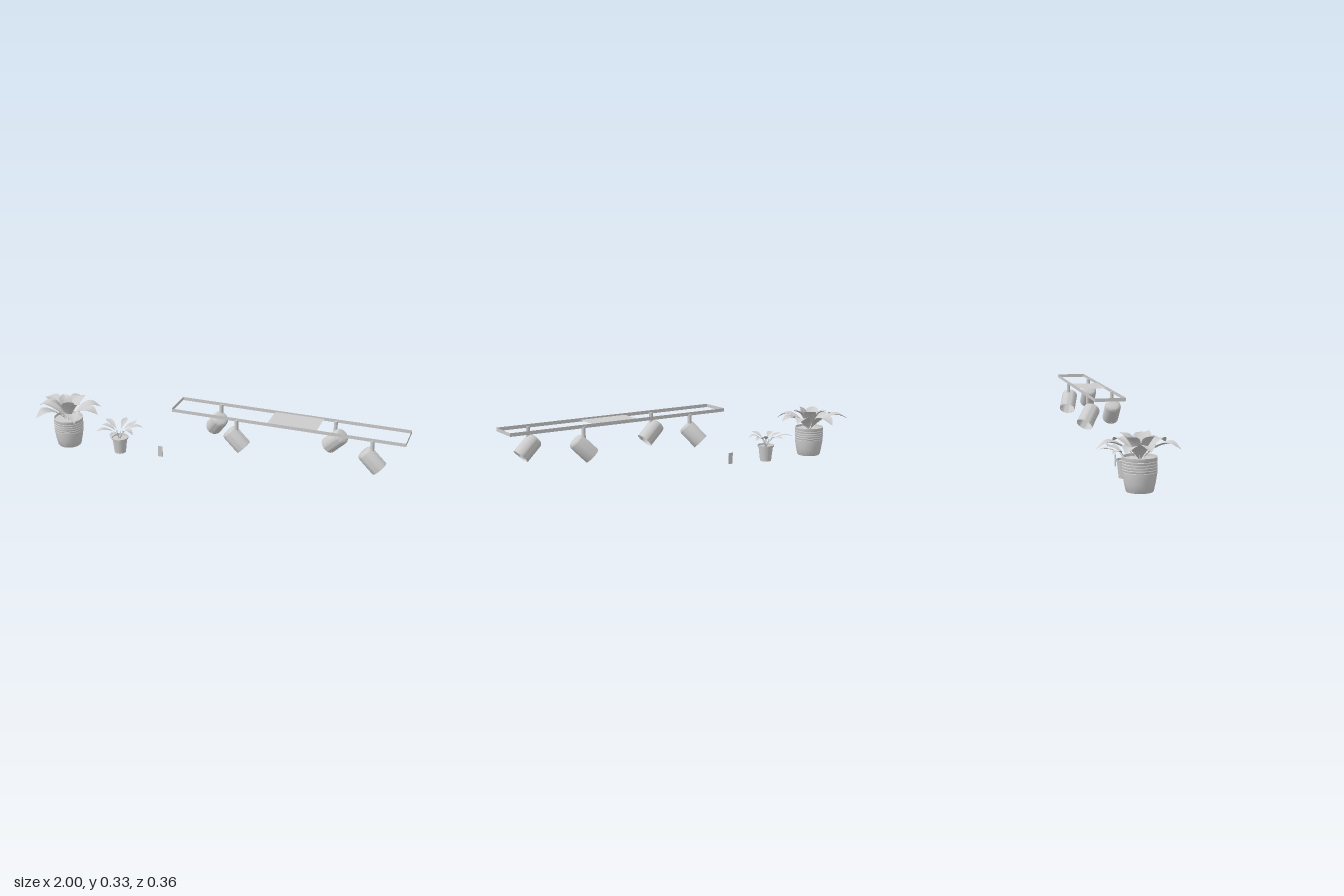
import * as THREE from 'three';
import { toCreasedNormals } from 'three/addons/utils/BufferGeometryUtils.js';

const grey = new THREE.MeshStandardMaterial({ color: 0xcccccc, side: THREE.DoubleSide });

function add(parent, name, geometry, x = 0, y = 0, z = 0) {
  const mesh = new THREE.Mesh(geometry, grey);
  mesh.name = name;
  mesh.position.set(x, y, z);
  parent.add(mesh);
  return mesh;
}

function addGroup(parent, name, x = 0, y = 0, z = 0) {
  const group = new THREE.Group();
  group.name = name;
  group.position.set(x, y, z);
  parent.add(group);
  return group;
}

function lathe(points, segments = 32) {
  const geometry = new THREE.LatheGeometry(points.map(p => new THREE.Vector2(...p)), segments);
  return toCreasedNormals(geometry, 0.6);
}

// Curve leaving the plant centre along the heading (dx, dz); points are [radius, height]
function spine(dx, dz, points) {
  const r = Math.hypot(dx, dz);
  return new THREE.CatmullRomCurve3(
    points.map(([d, y]) => new THREE.Vector3(dx / r * d, y, dz / r * d)));
}

// Leaf blade: a grid bent along the spine, pointed at both ends and folded at the midrib
function leafBlade(curve, width, fold) {
  const geometry = new THREE.PlaneGeometry(1, 1, 4, 14);
  const pos = geometry.attributes.position;
  const end = curve.getPoint(1);
  const side = new THREE.Vector3(-end.z, 0, end.x).normalize();
  for (let i = 0; i < pos.count; i++) {
    const u = pos.getX(i) * 2, t = pos.getY(i) + 0.5;
    const half = width / 2 * Math.pow(Math.max(0, Math.sin(Math.PI * Math.pow(t, 1.2))), 1.15);
    const p = curve.getPoint(t).addScaledVector(side, u * half);
    p.y += Math.abs(u) * half * fold;
    pos.setXYZ(i, p.x, p.y, p.z);
  }
  geometry.computeVertexNormals();
  return geometry;
}

function largePlant(parent) {
  const plant = addGroup(parent, 'largePlant', -0.812, 0, 0.019);
  // Tapered pot with shallow ribs around its upper half
  const profile = [[0, 0], [0.06, 0], [0.062, 0.003], [0.07, 0.04], [0.077, 0.084], [0.077, 0.088]];
  for (let i = 0; i < 4; i++) {
    const y = 0.09 + i * 0.0125;
    profile.push([0.0755, y], [0.0775, y + 0.003], [0.0775, y + 0.009], [0.0755, y + 0.0115]);
  }
  profile.push([0.0775, 0.144], [0.078, 0.156], [0.073, 0.157], [0.071, 0.143]);
  add(plant, 'largePot', lathe(profile, 40));
  add(plant, 'largePotSoil', new THREE.CircleGeometry(0.0715, 40), 0, 0.145, 0).rotation.x = -Math.PI / 2;

  // Drooping outer leaves: tip x, tip z, tip height
  const outer = [
    [-0.188, -0.105, 0.2], [0.0, -0.197, 0.192], [0.155, -0.09, 0.2], [0.184, 0.012, 0.2],
    [0.112, 0.147, 0.195], [-0.105, 0.16, 0.197], [-0.17, 0.01, 0.2]];
  for (const [dx, dz, y] of outer) {
    const r = Math.hypot(dx, dz);
    const curve = spine(dx, dz, [[0.008, 0.14], [r * 0.35, 0.195], [r * 0.72, 0.22], [r, y]]);
    add(plant, 'outerLeaf', leafBlade(curve, 0.078, 0.25));
  }
  // Upright inner leaves
  const inner = [
    [0.06, -0.08, 0.255], [-0.06, -0.07, 0.25], [0.03, 0.05, 0.265],
    [-0.075, 0.05, 0.255], [0.09, 0.03, 0.25]];
  for (const [dx, dz, y] of inner) {
    const r = Math.hypot(dx, dz);
    const curve = spine(dx, dz, [[0.005, 0.14], [r * 0.3, 0.195], [r * 0.62, 0.235], [r, y]]);
    add(plant, 'innerLeaf', leafBlade(curve, 0.068, 0.35));
  }
}

function smallPlant(parent) {
  const plant = addGroup(parent, 'smallPlant', -0.513, 0, 0.02);
  add(plant, 'smallPot', lathe([
    [0, 0], [0.03, 0], [0.039, 0.077], [0.045, 0.078], [0.046, 0.087],
    [0.042, 0.087], [0.04, 0.076]]));
  add(plant, 'smallPotSoil', new THREE.CircleGeometry(0.0405, 32), 0, 0.077, 0).rotation.x = -Math.PI / 2;

  // Thin stalks, each carrying a narrow pointed leaf: tip x, tip z, tip height
  const leaves = [
    [-0.12, -0.085, 0.135], [-0.015, -0.131, 0.14], [0.065, -0.085, 0.157], [0.11, -0.062, 0.13],
    [0.093, 0.035, 0.125], [0.008, 0.13, 0.139], [-0.1, 0.075, 0.132], [-0.105, -0.005, 0.14]];
  for (const [dx, dz, y] of leaves) {
    const r = Math.hypot(dx, dz), s = r * 0.2;
    const stalk = spine(dx, dz, [[0.004, 0.076], [s * 0.5, 0.098], [s, 0.117]]);
    add(plant, 'stalk', new THREE.TubeGeometry(stalk, 8, 0.0013, 6));
    const blade = spine(dx, dz, [[s, 0.117], [r * 0.45, 0.134], [r * 0.75, 0.142], [r, y]]);
    add(plant, 'smallLeaf', leafBlade(blade, 0.032, 0.2));
  }
}

// Spot head hanging from its stem, aimed along (dx, -1, dz)
function spotlight(parent, stemX, stemZ, headX, dx, dz) {
  const lamp = addGroup(parent, 'spotlight');
  add(lamp, 'stem', new THREE.CylinderGeometry(0.0095, 0.0095, 0.055, 20), stemX, 0.2945, stemZ);
  const head = addGroup(lamp, 'spotHead', headX, 0.217, stemZ);
  head.quaternion.setFromUnitVectors(
    new THREE.Vector3(0, -1, 0), new THREE.Vector3(dx, -1, dz).normalize());
  // Thin open shell with a rounded back
  const profile = [[0.042, -0.053]];
  for (let i = 0; i <= 6; i++) {
    const a = i / 6 * Math.PI / 2;
    profile.push([0.022 + 0.02 * Math.cos(a), 0.043 + 0.02 * Math.sin(a)]);
  }
  profile.push([0, 0.063]);
  add(head, 'spotShell', lathe(profile));
  // Small studs around the open end
  for (let i = 0; i < 8; i++) {
    const a = i / 8 * Math.PI * 2;
    const stud = add(head, 'stud', new THREE.BoxGeometry(0.004, 0.003, 0.002),
      0.042 * Math.sin(a), -0.045, 0.042 * Math.cos(a));
    stud.rotation.y = a;
  }
}

function ceilingTrack(parent) {
  const track = addGroup(parent, 'ceilingTrack');
  const y = 0.3235, h = 0.017, front = 0.098, back = -0.059;
  const midZ = (front + back) / 2, depth = front - back;
  // Rails are thin upright strips
  for (const z of [front, back]) add(track, 'longRail', new THREE.PlaneGeometry(1.18, h), 0.41, y, z);
  for (const x of [-0.18, 1]) {
    add(track, 'endRail', new THREE.PlaneGeometry(depth, h), x, y, midZ).rotation.y = Math.PI / 2;
  }
  add(track, 'centrePanel', new THREE.PlaneGeometry(0.25, depth), 0.441, y, midZ).rotation.x = -Math.PI / 2;

  // Front pair aims sideways, back pair is also swivelled to the rear
  spotlight(track, 0.163, 0.097, 0.165, 1, 0);
  spotlight(track, 0.843, 0.097, 0.847, 1, 0);
  spotlight(track, 0.03, -0.057, 0.007, -0.73, -0.68);
  spotlight(track, 0.627, -0.057, 0.627, -0.93, -0.36);
}

export function createModel() {
  const model = new THREE.Group();
  model.name = 'plantsAndTrackLights';
  largePlant(model);
  smallPlant(model);
  add(model, 'wallPlate', new THREE.BoxGeometry(0.026, 0.06, 0.002), -0.281, 0.04, 0.021);
  ceilingTrack(model);
  return model;
}
